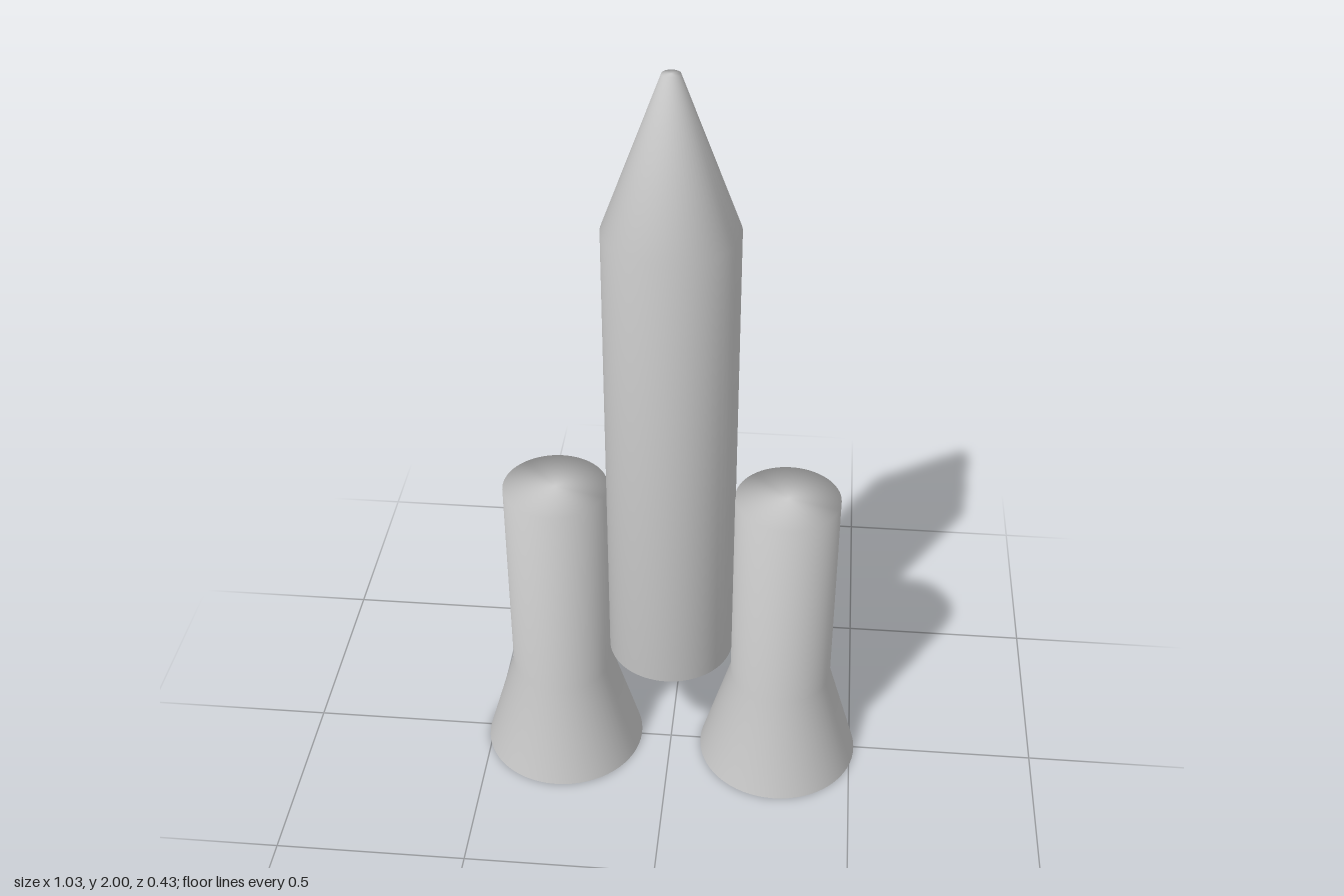
import * as THREE from 'three';

const SIDES = 64;

// Solid of revolution, smooth-shaded over its edges; profile runs bottom to top
function turned(name, profile, material) {
  const points = profile.map(([r, y]) => new THREE.Vector2(r, y));
  const mesh = new THREE.Mesh(new THREE.LatheGeometry(points, SIDES), material);
  mesh.name = name;
  return mesh;
}

export function createModel() {
  const model = new THREE.Group();
  model.name = 'rocket';

  const hull = new THREE.MeshStandardMaterial({ color: 0xcccccc });
  hull.name = 'hullGrey';

  // Central body with a blunt conical nose
  model.add(turned('coreBody', [
    [0, 0.36], [0.165, 0.36], [0.165, 1.615], [0.022, 2], [0, 2],
  ], hull));

  // Side boosters: hollow flared nozzle, straight tube and flat cap
  const boosterProfile = [
    [0, 0.25], [0.105, 0.25], [0.183, 0],
    [0.215, 0], [0.135, 0.28], [0.135, 0.86], [0, 0.86],
  ];
  for (const [name, side] of [['leftBooster', 1], ['rightBooster', -1]]) {
    const booster = turned(name, boosterProfile, hull);
    booster.position.x = side * 0.298;
    model.add(booster);
  }

  return model;
}
